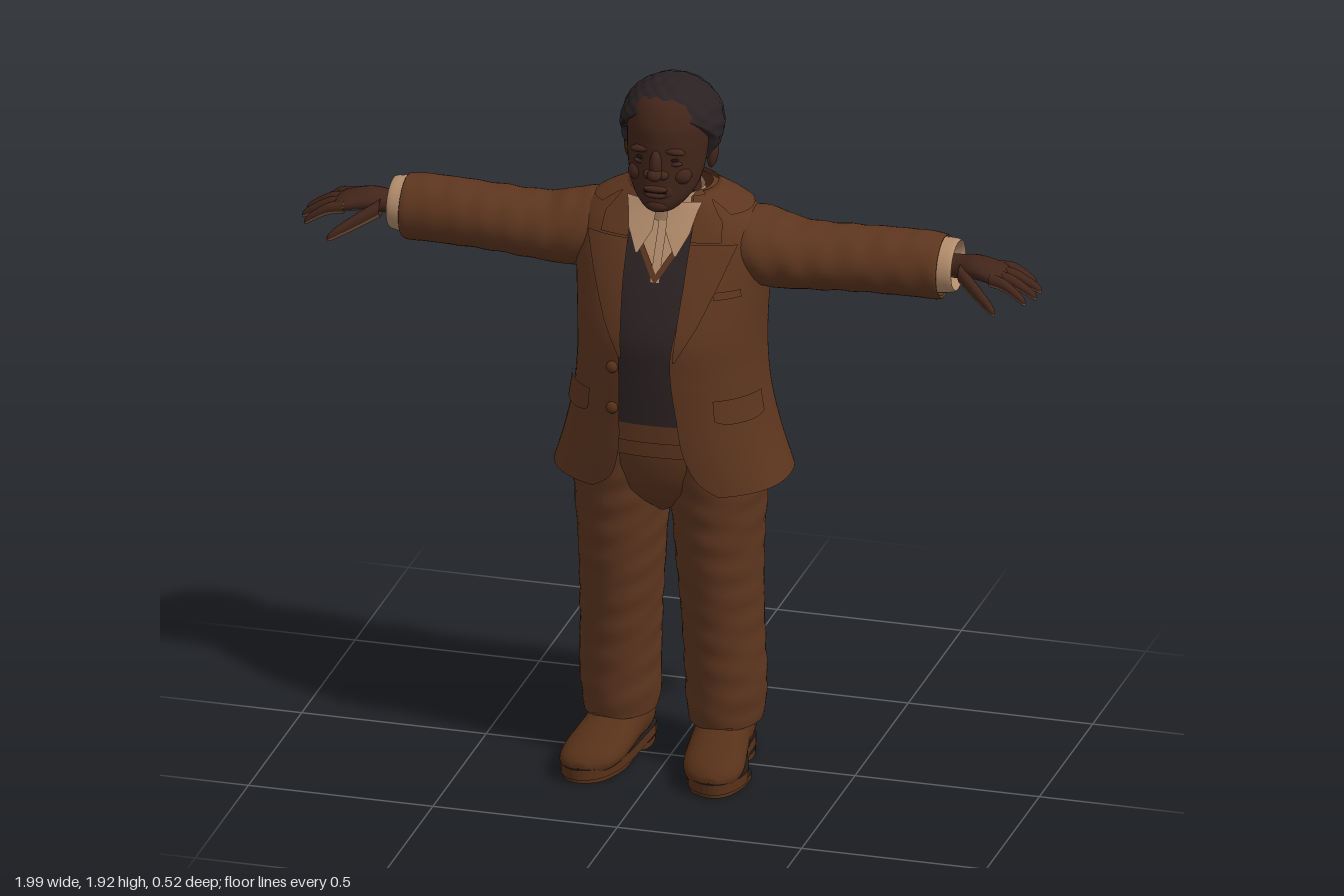
import * as THREE from 'three';
import { ParametricGeometry } from 'three/addons/geometries/ParametricGeometry.js';

const mat = (name, color, side = THREE.DoubleSide) => {
  const m = new THREE.MeshStandardMaterial({ color, side });
  m.name = name;
  return m;
};
const suit = mat('brown tweed', 0x5e361f), skin = mat('skin', 0x42251a), palmSkin = mat('palm skin', 0x7c5642),
  hairMat = mat('black hair', 0x2a2123), linen = mat('tan shirt', 0xb38c6c), knit = mat('dark knit', 0x2c2223),
  leather = mat('brown leather', 0x573119), rubber = mat('dark sole', 0x241a1a), eyeMat = mat('dark eye', 0x1c1110);

const add = (parent, name, geo, material) => {
  const m = new THREE.Mesh(geo, material);
  m.name = name;
  parent.add(m);
  return m;
};

// Smooth interpolation through the rows of a table, by given positions or by row index
const spline = (rows, pos = rows.map((_, i) => i)) =>
  new THREE.CubicInterpolant(pos, rows.flat(), rows[0].length);

// Tube of elliptical sections; rows are [along axis, centre a, centre b, radius a, radius b]
function loft(rows, axis = 'y', nu = 32, nv = 32, wrinkle = 0) {
  const s = spline(rows);
  return new ParametricGeometry((u, v, out) => {
    const [t, ca, cb, ra, rb] = s.evaluate(v * (rows.length - 1));
    const a = u * Math.PI * 2;
    const k = 1 + wrinkle * Math.sin(t * 75 + 2 * Math.sin(a + 1)) * Math.cos(a * 2 + t * 9);
    const p = ca + ra * k * Math.sin(a), r = cb + rb * k * Math.cos(a);
    if (axis === 'x') out.set(t, r, p);
    else if (axis === 'z') out.set(r, p, t);
    else out.set(p, t, r);
  }, nu, nv);
}

const ball = (parent, name, material, [x, y, z], [a, b, c], rz = 0) => {
  const m = add(parent, name, new THREE.SphereGeometry(1, 24, 16), material);
  m.position.set(x, y, z);
  m.scale.set(a, b, c);
  m.rotation.z = rz;
  return m;
};

// Jacket body sections: [y, half width, front z, back z]
const BODY = [[0.82, 0.315, 0.205, -0.26], [0.92, 0.285, 0.215, -0.235], [1.05, 0.257, 0.22, -0.2],
  [1.15, 0.248, 0.222, -0.185], [1.25, 0.248, 0.218, -0.185], [1.36, 0.255, 0.178, -0.195],
  [1.45, 0.262, 0.132, -0.2], [1.52, 0.25, 0.09, -0.188], [1.57, 0.19, 0.06, -0.165], [1.615, 0.1, 0.038, -0.125]];
const bodyAt = spline(BODY.map(r => r.slice(1)), BODY.map(r => r[0]));
// Front opening: [y, edge on the right side, edge on the left side]
const GAP = [[0.82, -0.16, 0.18], [0.85, -0.115, 0.14], [0.92, -0.085, 0.1], [1.05, -0.078, 0.075],
  [1.2, -0.08, 0.06], [1.36, -0.088, 0.08], [1.52, -0.083, 0.08], [1.615, -0.065, 0.065]];
const gapAt = spline(GAP.map(r => r.slice(1)), GAP.map(r => r[0]));
const N = 2.3, ZC = -0.04;

function bodyPoint(a, y, off, out) {
  const [rx, zf, zb] = bodyAt.evaluate(y);
  const s = Math.sin(a), c = Math.cos(a);
  const r = (Math.abs(s) ** N + Math.abs(c) ** N) ** (-1 / N);
  out.set((rx + off) * s * r, y, ZC + ((c > 0 ? zf - ZC : ZC - zb) + off) * c * r);
}
function angleAt(x, y) {
  const a = Math.min(Math.abs(x) / bodyAt.evaluate(y)[0], 0.999);
  return Math.sign(x) * Math.atan2(a, (1 - a ** N) ** (1 / N));
}
// Cloth laid on the body; rows are [y, x from, x to], lower row first
function patch(rows, off, nu = 12, nv = 24) {
  return new ParametricGeometry((u, v, out) => {
    const f = v * (rows.length - 1), i = Math.min(Math.floor(f), rows.length - 2);
    const [y, a, b] = rows[i].map((p, k) => THREE.MathUtils.lerp(p, rows[i + 1][k], f - i));
    bodyPoint(angleAt(THREE.MathUtils.lerp(a, b, u), y), y, off, out);
  }, nu, nv);
}
const flip = rows => rows.map(([y, a, b]) => [y, -b, -a]);
const both = (parent, name, rows, off, material) => {
  add(parent, name + 'Left', patch(rows, off), material);
  add(parent, name + 'Right', patch(flip(rows), off), material);
};

function jacket() {
  const g = new THREE.Group();
  g.name = 'jacket';
  add(g, 'jacketBody', new ParametricGeometry((u, v, out) => {
    const y = THREE.MathUtils.lerp(0.82, 1.615, v);
    const [r, l] = gapAt.evaluate(y);
    bodyPoint(THREE.MathUtils.lerp(angleAt(l, y), Math.PI * 2 + angleAt(r, y), u), y, 0, out);
  }, 80, 64), suit);
  both(g, 'lapel', [[1.21, 0.066, 0.072], [1.3, 0.072, 0.12], [1.4, 0.078, 0.16], [1.5, 0.08, 0.195]], 0.012, suit);
  both(g, 'collarLeaf', [[1.505, 0.08, 0.155], [1.55, 0.08, 0.15], [1.61, 0.066, 0.1]], 0.014, suit);
  add(g, 'backCollar', new ParametricGeometry((u, v, out) =>
    bodyPoint(0.9 + u * (Math.PI * 2 - 1.8), 1.565 + v * 0.053, 0.014, out), 40, 6), suit);
  // Pocket flaps wrap round the hips
  for (const s of [-1, 1]) add(g, 'pocketFlap', new ParametricGeometry((u, v, out) => {
    const t = s > 0 ? u : 1 - u;
    bodyPoint(s * (0.66 + t * 0.64), 1.025 + v * 0.07 - t * 0.012 + 0.012 * (1 - v) * (2 * t - 1) ** 4, 0.009, out);
  }, 14, 6), suit);
  add(g, 'breastPocket', patch([[1.365, 0.155, 0.215], [1.385, 0.153, 0.213]], 0.006), suit);
  for (const y of [1.06, 1.175]) ball(g, 'button', leather, [-0.098, y, 0.213], [0.016, 0.016, 0.012]);
  return g;
}

function innerClothes() {
  const g = new THREE.Group();
  g.name = 'innerClothes';
  add(g, 'shirtFront', patch([[1.38, -0.12, 0.12], [1.6, -0.09, 0.09]], -0.016), linen);
  add(g, 'shirtPlacket', patch([[1.4, -0.012, 0.012], [1.56, -0.012, 0.012]], -0.008), linen);
  add(g, 'neckBand', loft([[1.54, 0, -0.025, 0.094, 0.094], [1.58, 0, -0.022, 0.09, 0.09], [1.615, 0, -0.02, 0.085, 0.085]]), linen);
  both(g, 'shirtCollar', [[1.475, 0.045, 0.05], [1.53, 0.016, 0.075], [1.6, 0.012, 0.085]], 0.026, linen);
  add(g, 'sweaterFront', patch([[1.01, -0.13, 0.13], [1.25, -0.13, 0.13], [1.42, -0.12, 0.12]], -0.009), knit);
  both(g, 'sweaterShoulder', [[1.42, 0, 0.12], [1.5, 0.055, 0.11], [1.55, 0.085, 0.1]], -0.009, knit);
  both(g, 'necklineTrim', [[1.4, 0, 0.003], [1.42, 0, 0.018], [1.5, 0.052, 0.068], [1.55, 0.08, 0.094]], -0.005, suit);
  add(g, 'sweaterHem', patch([[0.97, -0.13, 0.13], [1.02, -0.13, 0.13]], -0.006), suit);
  add(g, 'waistband', patch([[0.925, -0.15, 0.15], [0.97, -0.15, 0.15]], -0.016), suit);
  return g;
}

function arm() {
  const g = new THREE.Group();
  add(g, 'sleeve', loft([[0.14, -0.055, 1.46, 0.1, 0.085], [0.22, -0.055, 1.455, 0.125, 0.1], [0.28, -0.052, 1.446, 0.12, 0.098],
    [0.36, -0.047, 1.442, 0.11, 0.088], [0.5, -0.05, 1.447, 0.1, 0.086], [0.62, -0.052, 1.45, 0.094, 0.088],
    [0.72, -0.052, 1.45, 0.089, 0.087], [0.726, -0.052, 1.45, 0.078, 0.077]], 'x', 40, 56, 0.018), suit);
  add(g, 'shirtCuff', loft([[0.68, -0.05, 1.455, 0.076, 0.074], [0.73, -0.05, 1.455, 0.076, 0.074],
    [0.76, -0.05, 1.457, 0.073, 0.07], [0.762, -0.05, 1.457, 0.066, 0.062], [0.71, -0.05, 1.457, 0.05, 0.048]], 'x', 32, 20), linen);
  // Hand parts, each with a paler underside
  const parts = {
    palm: [[0.69, -0.045, 1.458, 0.042, 0.036], [0.76, -0.042, 1.46, 0.037, 0.03], [0.82, -0.027, 1.47, 0.05, 0.028],
      [0.88, -0.015, 1.464, 0.06, 0.022], [0.905, -0.013, 1.457, 0.052, 0.016], [0.914, -0.013, 1.455, 0.002, 0.002]],
    thumb: [[0.785, 0, 1.458, 0.024, 0.024], [0.835, 0.04, 1.433, 0.022, 0.021], [0.88, 0.074, 1.41, 0.017, 0.016],
      [0.9, 0.088, 1.398, 0.011, 0.01], [0.906, 0.092, 1.395, 0.001, 0.001]],
  };
  [[-0.062, -0.085, 0.968], [-0.03, -0.037, 0.996], [0.002, 0.01, 0.996], [0.033, 0.054, 0.978]].forEach(([z0, z1, tip], i) => {
    const at = (f, y, r) => [0.875 + (tip - 0.875) * f, z0 + (z1 - z0) * f, y, r, r];
    parts['finger' + (i + 1)] = [at(0, 1.463, 0.016), at(0.4, 1.457, 0.0155), at(0.75, 1.437, 0.013),
      at(0.95, 1.422, 0.009), at(1, 1.418, 0.001)];
  });
  for (const [name, rows] of Object.entries(parts)) {
    add(g, name, loft(rows, 'x', 16, 20), skin);
    add(g, name + 'Underside', loft(rows.map(([x, z, y, a, b]) => [x, z, y - 0.003, a * 0.92, b * 0.97]), 'x', 16, 20), palmSkin);
  }
  return g;
}

// Flat outline of the foot, extruded downward from its top height
function sole(points, top, depth) {
  const curve = new THREE.SplineCurve([...points, points[0]].map(p => new THREE.Vector2(...p)));
  const geo = new THREE.ExtrudeGeometry(new THREE.Shape(curve.getPoints(40)), { depth, bevelEnabled: false });
  return geo.rotateX(Math.PI / 2).translate(0, top, 0);
}

function leg() {
  const g = new THREE.Group();
  add(g, 'trouserLeg', loft([[0.12, 0.142, -0.035, 0.096, 0.122], [0.16, 0.142, -0.033, 0.102, 0.127], [0.24, 0.143, -0.027, 0.106, 0.125],
    [0.4, 0.138, -0.018, 0.107, 0.13], [0.6, 0.132, -0.008, 0.114, 0.147], [0.78, 0.13, -0.005, 0.126, 0.163],
    [0.92, 0.125, 0, 0.13, 0.175]], 'y', 40, 60, 0.014), suit);
  add(g, 'shoeUpper', loft([[-0.155, 0.06, 0.135, 0.015, 0.02], [-0.14, 0.07, 0.136, 0.045, 0.055], [-0.08, 0.075, 0.138, 0.065, 0.07],
    [0, 0.08, 0.143, 0.068, 0.074], [0.08, 0.07, 0.152, 0.058, 0.08], [0.16, 0.056, 0.163, 0.044, 0.082],
    [0.22, 0.05, 0.171, 0.035, 0.066], [0.25, 0.045, 0.176, 0.018, 0.03], [0.255, 0.045, 0.177, 0.001, 0.001]], 'z', 32, 40), leather);
  add(g, 'shoeAnkle', loft([[0.07, 0.14, -0.045, 0.072, 0.1], [0.13, 0.14, -0.045, 0.07, 0.095], [0.2, 0.14, -0.045, 0.06, 0.07]]), leather);
  for (const z of [0.045, 0.075]) {
    const lace = ball(g, 'shoeLace', leather, [0.15, 0.137 - (z - 0.045) * 0.4, z], [0.04, 0.008, 0.01]);
    lace.rotation.x = 0.3;
  }
  const mats = [rubber, leather];
  add(g, 'shoeSole', sole([[0.135, -0.155], [0.198, -0.12], [0.21, 0], [0.25, 0.14], [0.225, 0.235], [0.177, 0.262],
    [0.12, 0.23], [0.085, 0.14], [0.072, 0], [0.072, -0.12]], 0.042, 0.028), mats);
  add(g, 'shoeHeel', sole([[0.135, -0.153], [0.195, -0.12], [0.203, -0.01], [0.077, -0.01], [0.075, -0.12]], 0.016, 0.016), mats);
  add(g, 'foreSole', sole([[0.083, 0.06], [0.225, 0.06], [0.246, 0.14], [0.222, 0.228], [0.177, 0.253], [0.122, 0.225], [0.088, 0.14]], 0.016, 0.014), mats);
  return g;
}

function head() {
  const g = new THREE.Group();
  g.name = 'head';
  add(g, 'neck', loft([[1.52, 0, -0.03, 0.08, 0.08], [1.6, 0, -0.018, 0.076, 0.075], [1.68, 0, -0.005, 0.078, 0.085]]), skin);
  add(g, 'skull', loft([[1.586, 0, 0.095, 0.002, 0.002], [1.592, 0, 0.088, 0.036, 0.042], [1.61, 0, 0.07, 0.06, 0.072],
    [1.64, 0, 0.053, 0.083, 0.09], [1.68, 0, 0.036, 0.097, 0.106], [1.73, 0, 0.024, 0.105, 0.114], [1.78, 0, 0.016, 0.108, 0.121],
    [1.83, 0, 0.01, 0.104, 0.118], [1.88, 0, 0, 0.078, 0.09], [1.905, 0, 0, 0.01, 0.01]], 'y', 40, 48), skin);
  ball(g, 'noseBridge', skin, [0, 1.728, 0.14], [0.016, 0.04, 0.02]);
  ball(g, 'noseTip', skin, [0, 1.704, 0.15], [0.02, 0.017, 0.022]);
  ball(g, 'muzzle', skin, [0, 1.652, 0.115], [0.05, 0.035, 0.034]);
  ball(g, 'upperLip', skin, [0, 1.662, 0.143], [0.034, 0.009, 0.014]);
  ball(g, 'mouthLine', eyeMat, [0, 1.654, 0.144], [0.032, 0.003, 0.008]);
  ball(g, 'lowerLip', skin, [0, 1.645, 0.142], [0.029, 0.009, 0.014]);
  ball(g, 'chin', skin, [0, 1.612, 0.127], [0.03, 0.02, 0.021]);
  for (const s of [-1, 1]) {
    ball(g, 'nostril', skin, [s * 0.02, 1.701, 0.139], [0.014, 0.012, 0.016]);
    ball(g, 'brow', skin, [s * 0.043, 1.765, 0.121], [0.032, 0.01, 0.016], s * -0.1);
    ball(g, 'eye', eyeMat, [s * 0.042, 1.741, 0.121], [0.015, 0.006, 0.009]);
    ball(g, 'eyeBag', skin, [s * 0.043, 1.729, 0.117], [0.023, 0.008, 0.013]);
    ball(g, 'cheek', skin, [s * 0.056, 1.692, 0.1], [0.03, 0.026, 0.027]);
    ball(g, 'ear', skin, [s * 0.113, 1.712, -0.008], [0.013, 0.037, 0.024], s * -0.15);
  }
  // Curly hair: bumpy ellipsoid sunk into the skull below the hairline
  const geo = new THREE.SphereGeometry(1, 110, 76);
  const p = geo.attributes.position, v = new THREE.Vector3();
  for (let i = 0; i < p.count; i++) {
    v.fromBufferAttribute(p, i).multiply(new THREE.Vector3(0.136, 0.128, 0.143));
    const y = v.y + 1.79, z = v.z - 0.02;
    const edge = z > 0.02 ? 1.76 + 0.95 * (z - 0.02) : 1.65 + 0.6 * Math.max(0, z + 0.06);
    const keep = THREE.MathUtils.smoothstep(y, edge - 0.008, edge + 0.012);
    const curl = Math.sin(v.x * 150 + v.y * 40) * Math.sin(v.y * 150 - v.z * 40) + Math.sin(v.z * 150 + v.x * 30) * 0.7;
    v.multiplyScalar(THREE.MathUtils.lerp(0.72, 1.0 + 0.013 * curl, keep));
    p.setXYZ(i, v.x, v.y + 1.79, v.z - 0.02);
  }
  geo.computeVertexNormals();
  add(g, 'hair', geo, hairMat);
  return g;
}

export function createModel() {
  const model = new THREE.Group();
  model.name = 'suitedMan';
  model.add(jacket(), innerClothes(), head());
  add(model, 'trouserSeat', loft([[0.73, 0, -0.005, 0.03, 0.09], [0.8, 0, -0.005, 0.2, 0.15], [0.9, 0, 0, 0.245, 0.178],
    [1.02, 0, 0, 0.235, 0.185]]), suit);
  for (const [side, s] of [['left', 1], ['right', -1]]) for (const [name, make] of [['Arm', arm], ['Leg', leg]]) {
    const limb = make();
    limb.name = side + name;
    limb.scale.x = s;
    model.add(limb);
  }
  return model;
}
